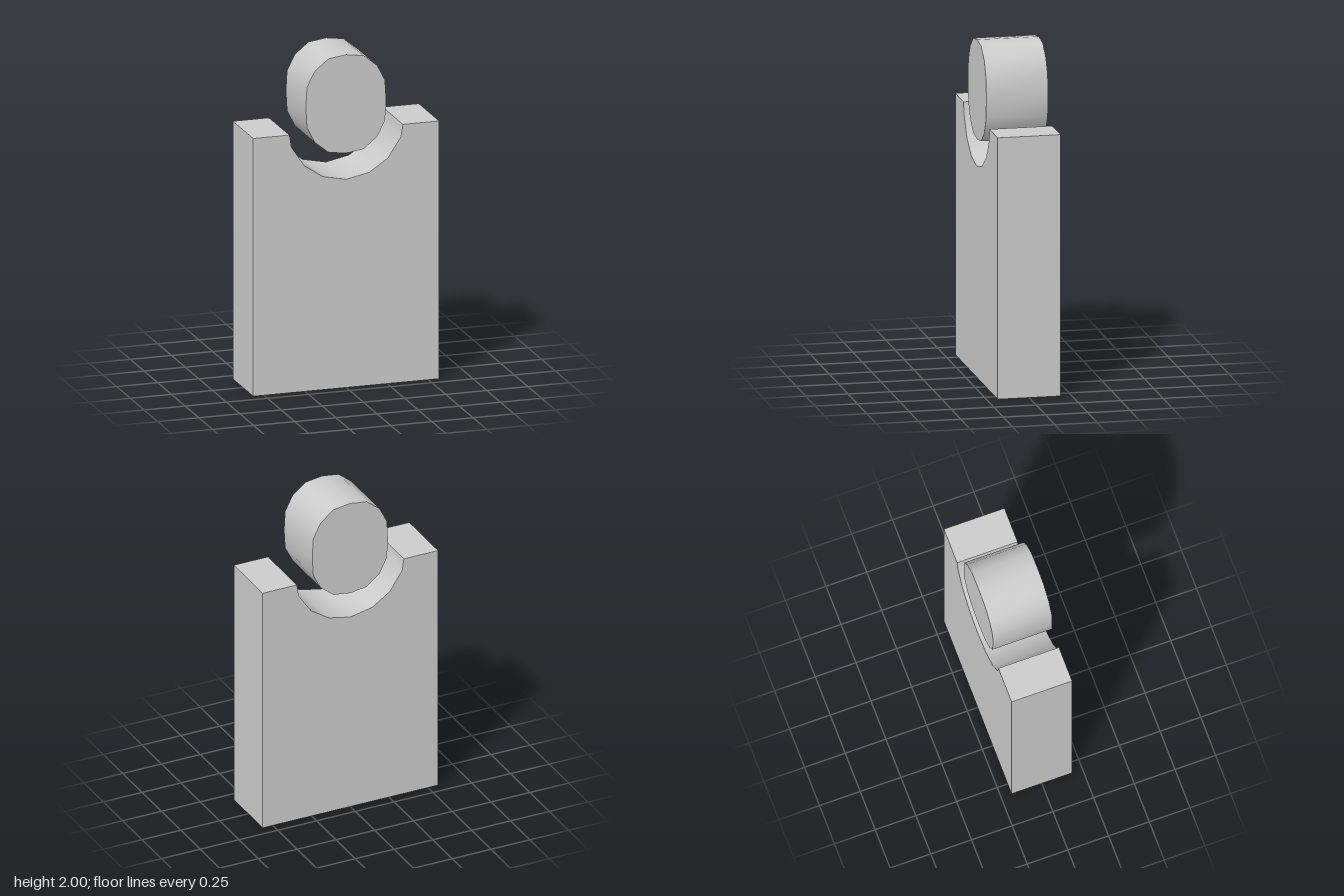
import * as THREE from 'three';
import { toCreasedNormals } from 'three/addons/utils/BufferGeometryUtils.js';

const material = new THREE.MeshStandardMaterial({ color: 0xcccccc, side: THREE.DoubleSide });

// Mirror a right-hand outline (first and last points on x = 0) into a closed one
function mirrored(half) {
  const other = half.slice(1, -1).reverse().map(([x, y]) => [-x, y]);
  return [...half, ...other].map(([x, y]) => new THREE.Vector2(x, y));
}

// Extrude a mirrored outline, centred on z = 0, smooth along its curves
function slab(name, half, depth, openBottom = false) {
  let geometry = new THREE.ExtrudeGeometry(new THREE.Shape(mirrored(half)), {
    depth, bevelEnabled: false, steps: 1,
  });
  geometry.translate(0, 0, -depth / 2);
  if (openBottom) geometry = withoutBottom(geometry);
  const mesh = new THREE.Mesh(toCreasedNormals(geometry, 0.65), material);
  mesh.name = name;
  return mesh;
}

// Drop the triangles lying on the ground plane, leaving a hollow shell
function withoutBottom(source) {
  const p = source.getAttribute('position');
  const kept = [];
  for (let i = 0; i < p.count; i += 3) {
    if ([0, 1, 2].every((k) => Math.abs(p.getY(i + k)) < 1e-5)) continue;
    for (let k = 0; k < 3; k++) kept.push(p.getX(i + k), p.getY(i + k), p.getZ(i + k));
  }
  const geometry = new THREE.BufferGeometry();
  geometry.setAttribute('position', new THREE.Float32BufferAttribute(kept, 3));
  geometry.computeVertexNormals();
  return geometry;
}

export function createModel() {
  const model = new THREE.Group();
  model.name = 'figure';

  // Upright body with a rounded notch in its top and an open underside
  model.add(slab('body', [
    [0, 0], [0.565, 0], [0.565, 1.55], [0.345, 1.55],
    [0.333, 1.476], [0.253, 1.356], [0.14, 1.281], [0, 1.252],
  ], 0.372, true));

  // Oval head floating above the notch
  model.add(slab('head', [
    [0, 1.408], [0.107, 1.423], [0.19, 1.49], [0.237, 1.583], [0.244, 1.704],
    [0.237, 1.825], [0.19, 1.918], [0.107, 1.985], [0, 2],
  ], 0.364));

  return model;
}
